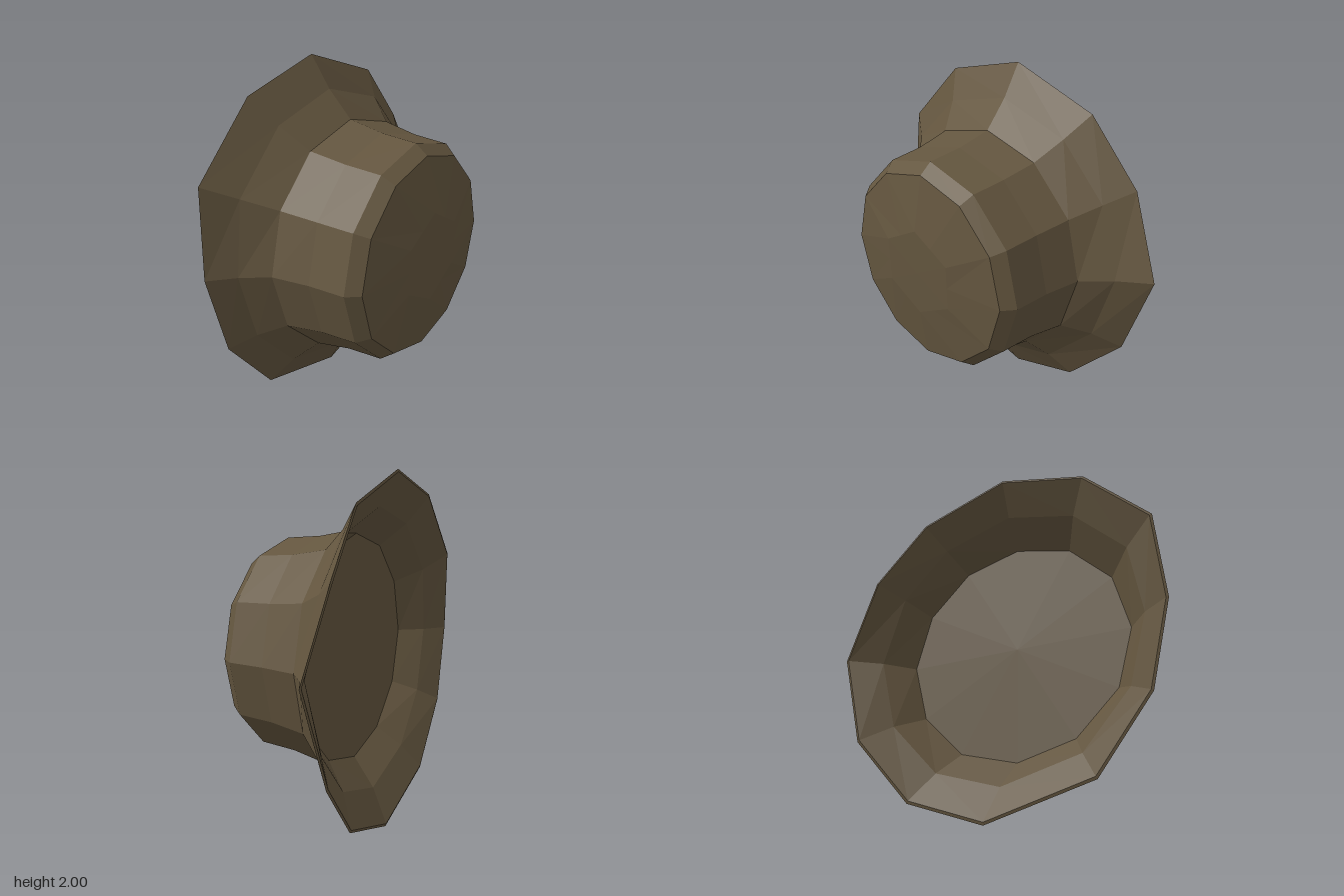
import * as THREE from 'three';

const SIDES = 12;
const CX = -0.05, CY = 1.01; // crown axis

// Regular ring around the crown axis
function ring(radius, z, fn) {
  return Array.from({ length: SIDES }, (_, i) => {
    const a = (i / SIDES) * Math.PI * 2;
    const r = fn ? radius * fn(i) : radius;
    return new THREE.Vector3(CX + r * Math.cos(a), CY + r * Math.sin(a), z);
  });
}

// Ring moved in or out from the crown axis and along z
function shifted(points, scale, dz) {
  return points.map((p) => new THREE.Vector3(CX + (p.x - CX) * scale, CY + (p.y - CY) * scale, p.z + dz));
}

// Faceted surface joining rings in order, front to back
function loft(name, rings, material) {
  const pos = [];
  const tri = (a, b, c) => {
    if (a.equals(b) || b.equals(c) || a.equals(c)) return;
    for (const p of [a, b, c]) pos.push(p.x, p.y, p.z);
  };
  for (let k = 0; k < rings.length - 1; k++) {
    const a = rings[k], b = rings[k + 1];
    for (let i = 0; i < SIDES; i++) {
      const j = (i + 1) % SIDES;
      tri(a[i], b[i], b[j]);
      tri(a[i], b[j], a[j]);
    }
  }
  const geometry = new THREE.BufferGeometry();
  geometry.setAttribute('position', new THREE.Float32BufferAttribute(pos, 3));
  geometry.computeVertexNormals();
  const mesh = new THREE.Mesh(geometry, material);
  mesh.name = name;
  return mesh;
}

export function createModel() {
  const group = new THREE.Group();
  group.name = 'flaredHat';
  const brown = new THREE.MeshStandardMaterial({ color: 0x64563f });
  brown.name = 'dull brown';

  // Crown: shallow six-sided dome, bevel, slightly widening wall
  const centre = ring(0, 0.405);
  const dome = ring(0.26, 0.4, (i) => (i % 2 ? 1 : Math.cos(Math.PI / 6)));
  dome.forEach((p) => { p.z += 0.025 * (p.y - CY) - 0.02 * (p.x - CX) + 0.002; });
  const capEdge = ring(0.56, 0.35);
  const shoulder = ring(0.615, 0.28);
  const waist = ring(0.63, 0.07);
  const base = ring(0.67, -0.14);

  // Irregular outer rim, counter-clockwise from the model's left
  const rim = [
    [0.95, 1.04, -0.36], [0.75, 1.49, -0.41], [0.45, 1.83, -0.39], [-0.06, 2.0, -0.39],
    [-0.55, 1.87, -0.39], [-0.91, 1.5, -0.4], [-0.95, 1.01, -0.385], [-0.84, 0.54, -0.39],
    [-0.55, 0.16, -0.385], [0.02, 0.0, -0.39], [0.46, 0.15, -0.375], [0.78, 0.51, -0.405],
  ].map((p) => new THREE.Vector3(...p));

  // Brim curve: the halfway ring sits slightly back of a straight line
  const middle = base.map((p, i) => {
    const q = p.clone().lerp(rim[i], 0.46);
    q.z = THREE.MathUtils.lerp(p.z, rim[i].z, 0.55);
    return q;
  });

  // Thin lining behind the brim, closed by a flat plate
  const rimBack = shifted(rim, 0.985, -0.004);
  const middleBack = shifted(middle, 0.975, -0.015);
  const plateEdge = ring(0.65, -0.155);

  group.add(
    loft('crownCap', [centre, dome, capEdge], brown),
    loft('crownWall', [capEdge, shoulder, waist, base], brown),
    loft('brim', [base, middle, rim], brown),
    loft('brimLining', [rim, rimBack, middleBack, plateEdge], brown),
    loft('backPlate', [plateEdge, ring(0, -0.155)], brown),
  );
  return group;
}
